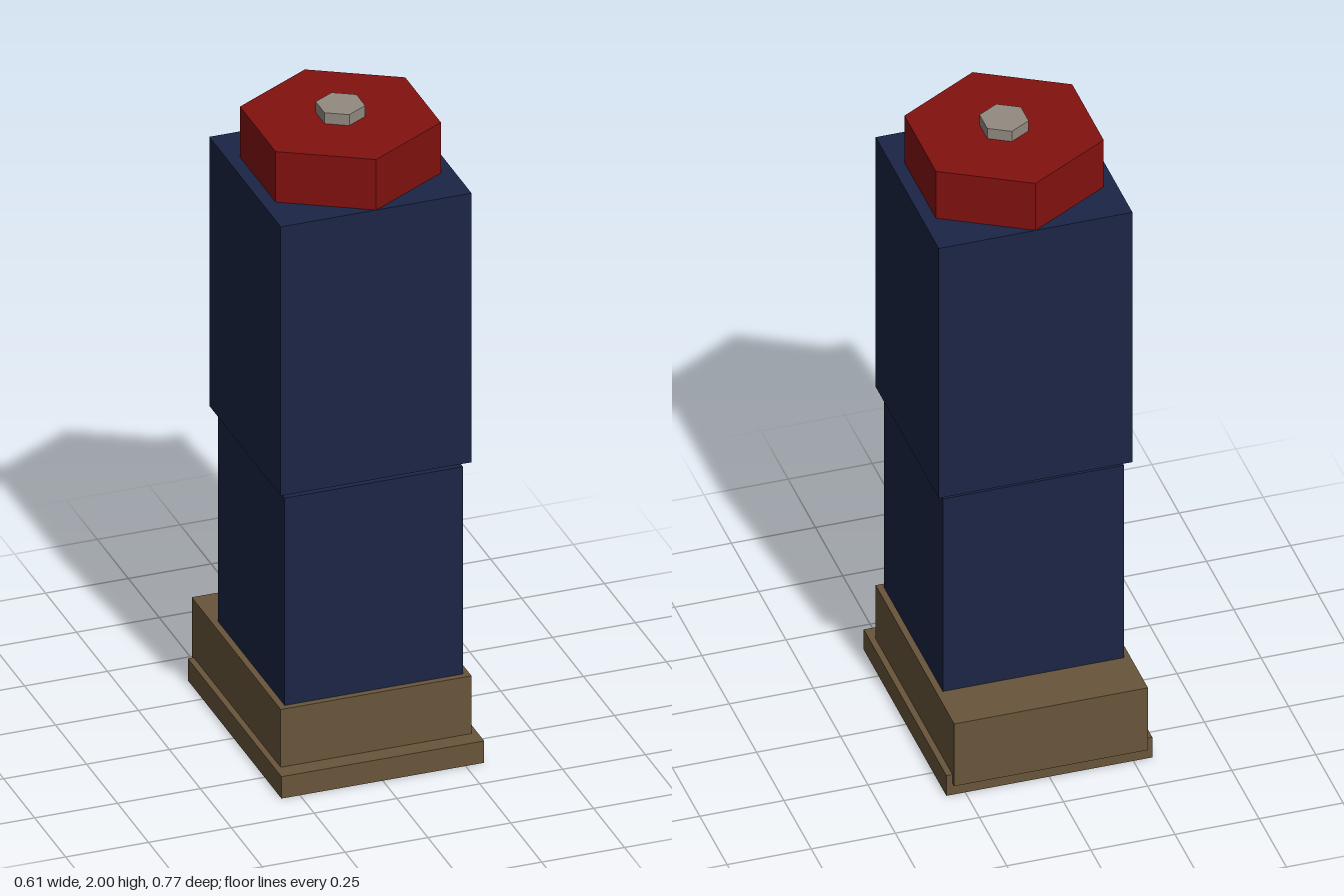
import * as THREE from 'three';

const material = (color) => new THREE.MeshStandardMaterial({ color, flatShading: true });

export function createModel() {
  const model = new THREE.Group();
  const navy = material(0x1b2545);
  const red = material(0x82110f);
  const brown = material(0x68553a);
  const grey = material(0x928a80);
  const axisZ = 0.044; // centre line of the upright parts

  function add(name, geometry, mat, y0, y1, z) {
    const mesh = new THREE.Mesh(geometry, mat);
    mesh.name = name;
    mesh.position.set(0, (y0 + y1) / 2, z);
    model.add(mesh);
  }
  const block = (name, mat, width, y0, y1, z0, z1) =>
    add(name, new THREE.BoxGeometry(width, y1 - y0, z1 - z0), mat, y0, y1, (z0 + z1) / 2);
  // Six-sided prism with corners pointing to front and back
  const hexagon = (name, mat, radius, y0, y1) =>
    add(name, new THREE.CylinderGeometry(radius, radius, y1 - y0, 6), mat, y0, y1, axisZ);

  // Stepped base, its upper block overhanging at the back
  block('basePlate', brown, 0.612, 0, 0.07, -0.37, 0.386);
  block('baseBlock', brown, 0.576, 0.04, 0.255, -0.386, 0.332);

  // Two-part body joined by a recessed neck
  block('lowerBody', navy, 0.538, 0.255, 0.92, -0.224, 0.313);
  block('neck', navy, 0.324, 0.92, 0.94, -0.19, -0.005);
  block('upperBody', navy, 0.576, 0.94, 1.803, -0.244, 0.332);

  // Hexagonal cap and its nut
  hexagon('cap', red, 0.288, 1.803, 1.965);
  hexagon('nut', grey, 0.071, 1.965, 2);

  return model;
}
